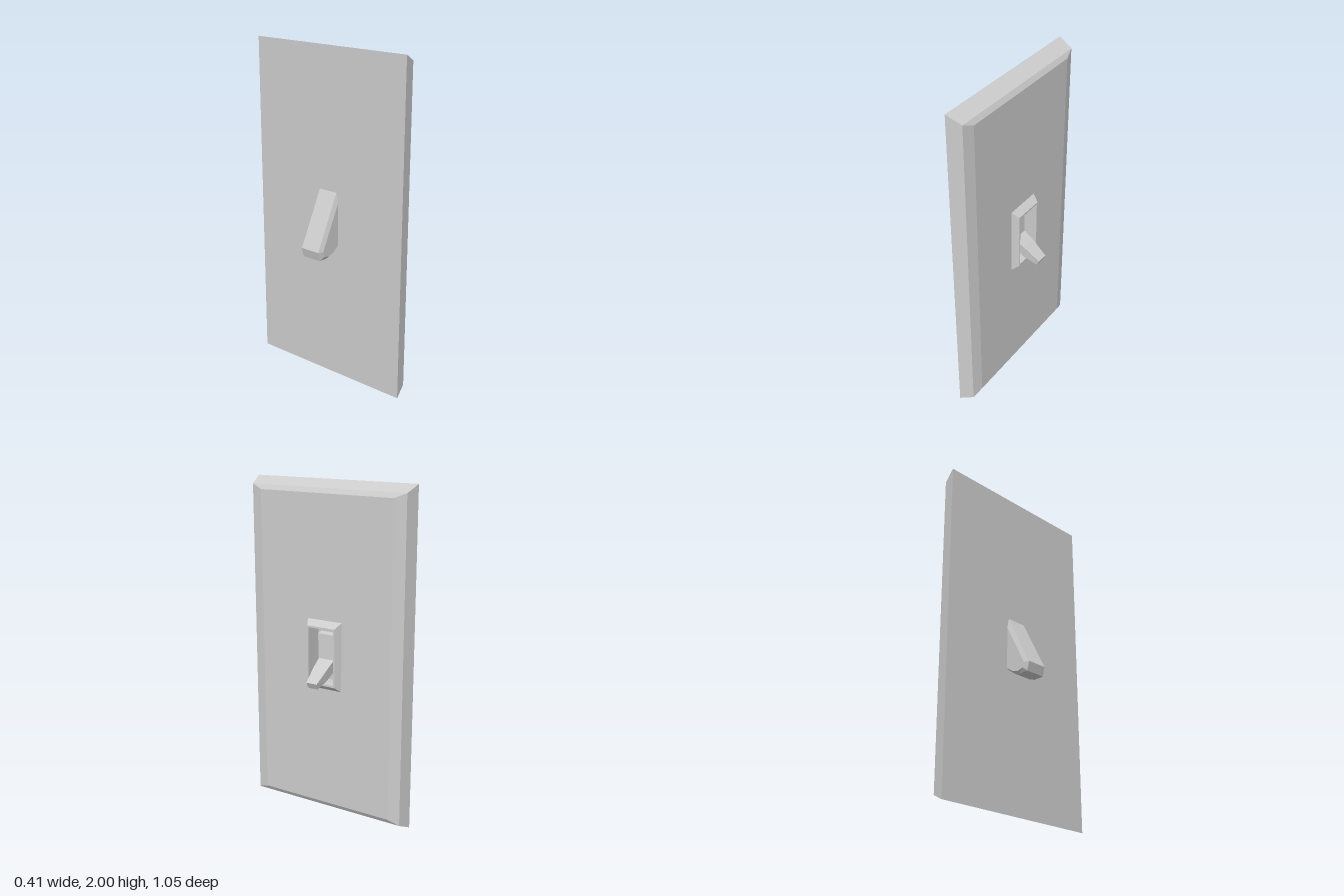
import * as THREE from 'three';

const material = new THREE.MeshStandardMaterial({ color: 0xcccccc, flatShading: true });

// Skin between rings of equal point count, with both ends capped.
// Rings run counter-clockwise as seen from the last ring's side.
function loft(name, rings) {
  const n = rings[0].length;
  const pos = [];
  const tri = (a, b, c) => pos.push(...a, ...b, ...c);
  for (let r = 0; r < rings.length - 1; r++) {
    const lo = rings[r], hi = rings[r + 1];
    for (let i = 0; i < n; i++) {
      const j = (i + 1) % n;
      tri(lo[i], lo[j], hi[j]);
      tri(lo[i], hi[j], hi[i]);
    }
  }
  const first = rings[0], last = rings[rings.length - 1];
  for (let i = 1; i < n - 1; i++) {
    tri(first[0], first[i + 1], first[i]);
    tri(last[0], last[i], last[i + 1]);
  }
  const geometry = new THREE.BufferGeometry();
  geometry.setAttribute('position', new THREE.Float32BufferAttribute(pos, 3));
  geometry.computeVertexNormals();
  const mesh = new THREE.Mesh(geometry, material);
  mesh.name = name;
  return mesh;
}

// Four-sided ring around the x axis; its lower and upper edges may sit at different x
const ring = (xLow, yLow, xHigh, yHigh, halfLow, halfHigh = halfLow) => [
  [xLow, yLow, -halfLow], [xHigh, yHigh, -halfHigh],
  [xHigh, yHigh, halfHigh], [xLow, yLow, halfLow],
];
const rect = (x, y0, y1, half) => ring(x, y0, x, y1, half);

export function createModel() {
  const group = new THREE.Group();
  group.name = 'wallSwitch';

  // Bevelled plate, raised collar and the recess inside it, as one skin
  group.add(loft('wallPlate', [
    rect(-0.042, 0, 2, 0.525),
    rect(0.046, 0.042, 1.958, 0.504),
    rect(0.063, 0.07, 1.93, 0.435),
    rect(0.063, 0.797, 1.21, 0.114),
    rect(0.104, 0.829, 1.178, 0.093),
    rect(0.104, 0.84, 1.167, 0.085),
    rect(0.0, 0.84, 1.167, 0.085),
  ]));

  // Tapered pad inside the recess, above the lever
  group.add(loft('rockerPad', [
    rect(-0.01, 0.87, 1.13, 0.064),
    ring(0.05, 0.88, 0.035, 1.12, 0.044, 0.064),
  ]));

  // Lever tapering down and outward
  group.add(loft('lever', [
    ring(0.0, 0.925, 0.0, 1.0, 0.05, 0.055),
    ring(0.105, 0.863, 0.105, 0.937, 0.041, 0.047),
    ring(0.186, 0.834, 0.202, 0.868, 0.031, 0.035),
  ]));

  // Wedge-shaped housing behind the plate with chamfered rear edges
  const outline = [[-0.03, 1.19], [-0.204, 0.845], [-0.19, 0.79],
    [-0.125, 0.79], [-0.085, 0.805], [-0.03, 0.848]];
  const inset = [[-0.03, 1.13], [-0.175, 0.845], [-0.165, 0.812],
    [-0.125, 0.803], [-0.085, 0.815], [-0.03, 0.858]];
  const slice = (points, z) => points.map(([x, y]) => [x, y, z]);
  group.add(loft('rearHousing', [
    slice(inset, -0.075), slice(outline, -0.062),
    slice(outline, 0.062), slice(inset, 0.075),
  ]));

  return group;
}
